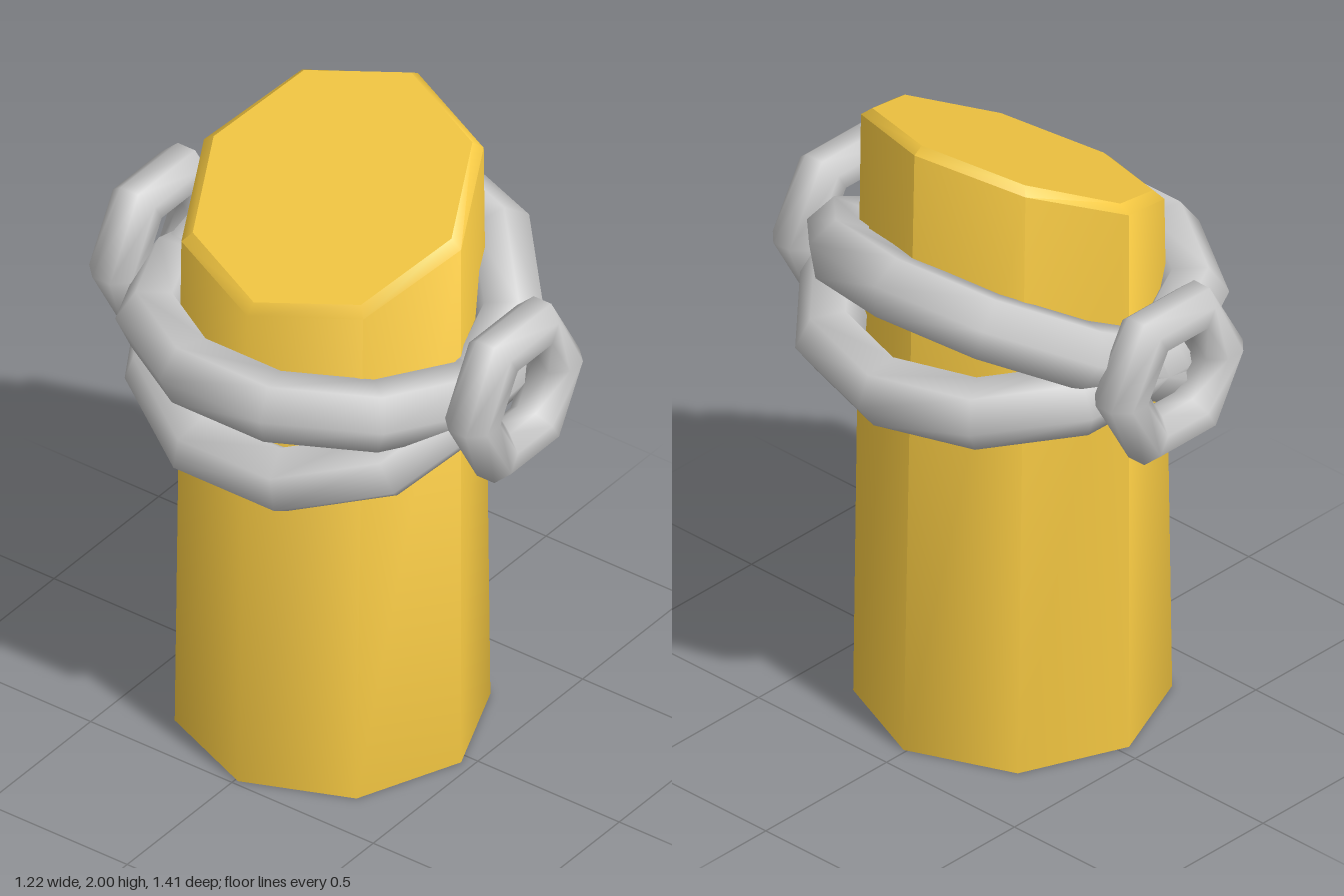
import * as THREE from 'three';
import { toCreasedNormals } from 'three/addons/utils/BufferGeometryUtils.js';

const gold = new THREE.MeshStandardMaterial({ color: 0xf5c842 });
const grey = new THREE.MeshStandardMaterial({ color: 0xcccccc });

function addMesh(parent, name, geometry, material) {
  const mesh = new THREE.Mesh(geometry, material);
  mesh.name = name;
  parent.add(mesh);
  return mesh;
}

// Moves a unit octagon (y = level 0 foot, 1 shoulder, 2 bevelled rim) onto the tapered, slanted post
function shapePost(geometry) {
  const p = geometry.attributes.position;
  for (let i = 0; i < p.count; i++) {
    const level = Math.round(p.getY(i));
    const inset = level === 2 ? 0.925 : 1;
    const rx = level === 0 ? 0.452 : 0.407;
    const x = p.getX(i) * rx * inset - 0.033;
    const z = p.getZ(i) * 0.455 * inset + 0.01;
    const y = [0, 1.79 + 0.47 * (x + 0.033), 1.815 + 0.493 * (x + 0.033)][level];
    p.setXYZ(i, x, y, z);
  }
  geometry.computeVertexNormals();
  return geometry;
}

// Eight-sided disc matching the post outline, facing up or down
function disc(level, up) {
  const g = new THREE.CircleGeometry(1, 8);
  g.rotateX(up ? -Math.PI / 2 : Math.PI / 2);
  return shapePost(g.translate(0, level, 0));
}

// Hexagonal ring with an eight-sided section, lying in the XY plane
function knotGeometry() {
  const profile = [];
  for (let i = 0; i <= 8; i++) {
    const a = (i + 0.5) * Math.PI / 4;
    profile.push(new THREE.Vector2(0.197 + 0.081 * Math.cos(a), 0.081 * Math.sin(a)));
  }
  const g = new THREE.LatheGeometry(profile, 6);
  g.rotateY(Math.PI / 2).rotateX(Math.PI / 2);
  return toCreasedNormals(g, 1.2);
}

export function createModel() {
  const model = new THREE.Group();
  model.name = 'boundPost';

  // Post: side shell with bevelled rim, slanted top and flat foot
  const post = new THREE.Group();
  post.name = 'post';
  model.add(post);
  const shell = new THREE.CylinderGeometry(1, 1, 2, 8, 2, true).translate(0, 1, 0);
  addMesh(post, 'postSide', toCreasedNormals(shapePost(shell), 1.0), gold);
  addMesh(post, 'slantedTop', disc(2, true), gold);
  addMesh(post, 'foot', disc(0, false), gold);

  // Two crossing hoops
  const hoops = [
    { name: 'steepHoop', y: 1.33, tilt: 0.488 },
    { name: 'shallowHoop', y: 1.32, tilt: -0.121 },
  ];
  for (const { name, y, tilt } of hoops) {
    const g = new THREE.TorusGeometry(0.525, 0.104, 6, 11).rotateX(Math.PI / 2);
    const hoop = addMesh(model, name, g, grey);
    hoop.position.set(-0.007, y, 0);
    hoop.rotation.z = tilt;
  }

  // Hexagonal rings where the hoops cross
  for (const side of [1, -1]) {
    const ring = addMesh(model, side > 0 ? 'frontRing' : 'backRing', knotGeometry(), grey);
    ring.position.set(-0.003, 1.355, 0.63 * side);
  }

  return model;
}
